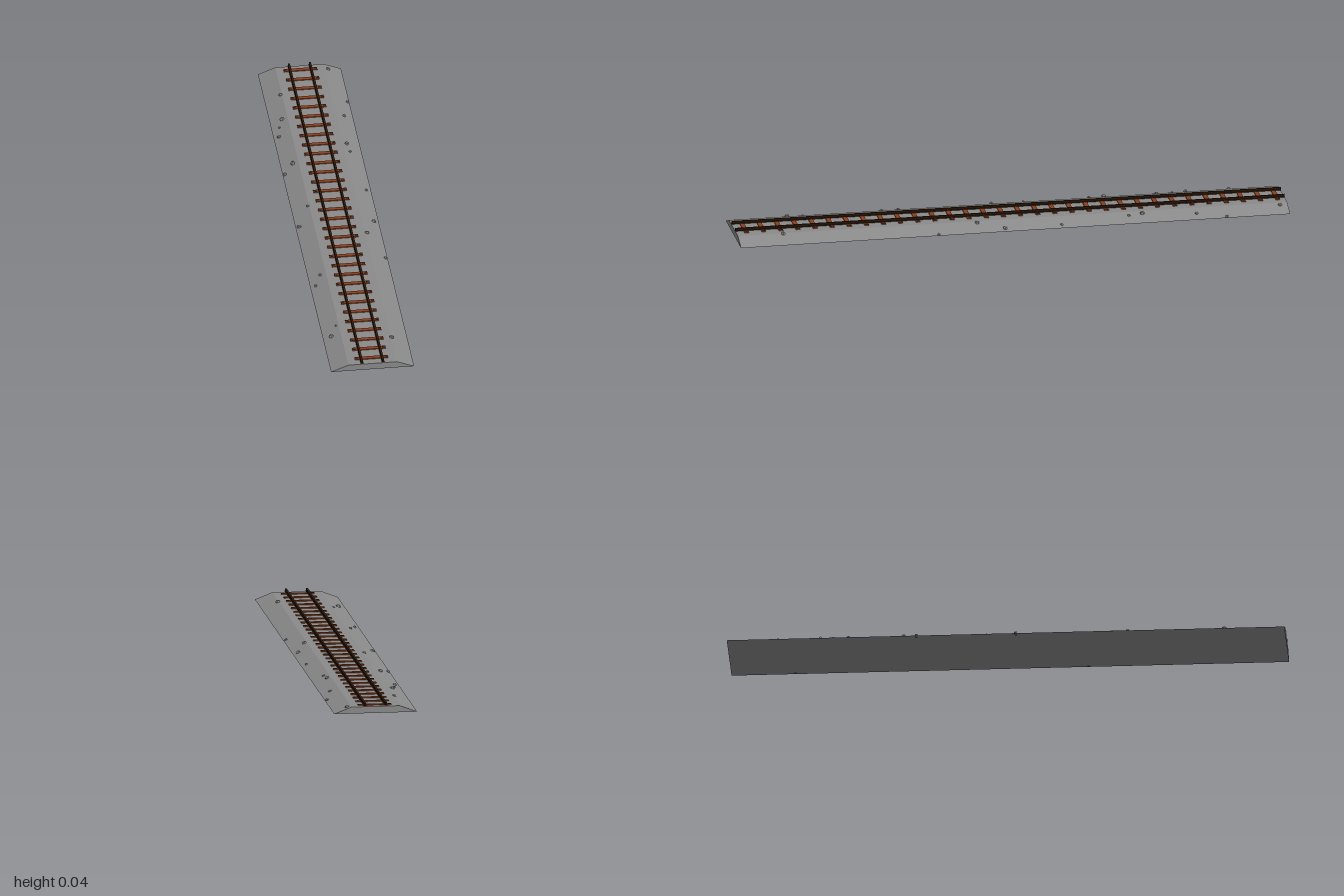
import * as THREE from 'three';

const material = (name, color) => {
  const m = new THREE.MeshStandardMaterial({ color });
  m.name = name;
  return m;
};

// Extrudes a closed x/y outline along the full length of the track
function extrudeAlongTrack(points, mat, name) {
  const shape = new THREE.Shape(points.map(([x, y]) => new THREE.Vector2(x, y)));
  const geo = new THREE.ExtrudeGeometry(shape, { depth: 2, bevelEnabled: false });
  geo.translate(0, 0, -1);
  const mesh = new THREE.Mesh(geo, mat);
  mesh.name = name;
  return mesh;
}

export function createModel() {
  const gravel = material('gravel grey', 0x8a8a8a);
  const stone = material('stone grey', 0x8a8a8a);
  stone.flatShading = true;
  const wood = material('sleeper brown', 0x8b3e1e);
  const iron = material('end plate brown', 0x4a2412);
  const steel = material('rail dark brown', 0x2e1a0c);

  const track = new THREE.Group();
  track.name = 'railwayTrack';

  // Ballast bed with sloping shoulders
  const baseY = 0.007, topY = 0.031, halfBase = 0.15, halfTop = 0.087;
  track.add(extrudeAlongTrack(
    [[-halfBase, baseY], [halfBase, baseY], [halfTop, topY], [-halfTop, topY]], gravel, 'ballastBed'));

  // Sleepers with a thin plate on top of each end
  const sleepers = new THREE.Group();
  sleepers.name = 'sleepers';
  const sleeperGeo = new THREE.BoxGeometry(0.12, 0.006, 0.016);
  const plateGeo = new THREE.BoxGeometry(0.011, 0.001, 0.012);
  for (let i = 0; i < 32; i++) {
    const sleeper = new THREE.Mesh(sleeperGeo, wood);
    sleeper.name = 'sleeper';
    sleeper.position.set(0, 0.031, -0.972 + i * 0.0624);
    for (const side of [-1, 1]) {
      const plate = new THREE.Mesh(plateGeo, iron);
      plate.name = 'endPlate';
      plate.position.set(side * 0.0535, 0.0032, 0);
      sleeper.add(plate);
    }
    sleepers.add(sleeper);
  }
  track.add(sleepers);

  // Rails with a wide foot and a narrower head
  const half = [[0.0045, 0.033], [0.0045, 0.0355], [0.003, 0.037], [0.003, 0.0405], [0.0036, 0.0415], [0.0036, 0.0435]];
  const outline = [...half, ...half.map(([x, y]) => [-x, y]).reverse()];
  for (const side of [-1, 1]) {
    const rail = extrudeAlongTrack(outline, steel, side > 0 ? 'leftRail' : 'rightRail');
    rail.position.x = side * 0.038;
    track.add(rail);
  }

  // Loose stones on the shoulders: x, z, radius
  const stones = [
    [-0.092, -0.82, 0.008], [-0.107, -0.665, 0.009], [-0.122, -0.62, 0.005], [-0.131, -0.565, 0.008],
    [-0.107, -0.368, 0.01], [-0.143, -0.32, 0.008], [-0.092, -0.072, 0.006], [-0.137, 0.035, 0.009],
    [-0.107, 0.38, 0.007], [-0.131, 0.437, 0.007], [-0.096, 0.73, 0.005], [-0.121, 0.783, 0.01],
    [0.1, -0.972, 0.008], [0.143, -0.77, 0.007], [0.117, -0.665, 0.007], [0.1, -0.47, 0.009],
    [0.106, -0.42, 0.006], [0.132, -0.172, 0.006], [0.132, 0.035, 0.009], [0.095, 0.13, 0.009],
    [0.142, 0.278, 0.007], [0.09, 0.835, 0.009],
  ];
  const rubble = new THREE.Group();
  rubble.name = 'looseStones';
  const stoneGeo = new THREE.DodecahedronGeometry(1, 0);
  stones.forEach(([x, z, r], i) => {
    const slope = Math.min(1, (halfBase - Math.abs(x)) / (halfBase - halfTop));
    const mesh = new THREE.Mesh(stoneGeo, stone);
    mesh.name = 'stone';
    mesh.scale.set(r, r * 0.8, r);
    mesh.position.set(x, Math.max(baseY + (topY - baseY) * slope, r * 0.92), z);
    mesh.rotation.set(i * 0.3, i * 1.7, i * 0.5);
    rubble.add(mesh);
  });
  track.add(rubble);

  return track;
}
